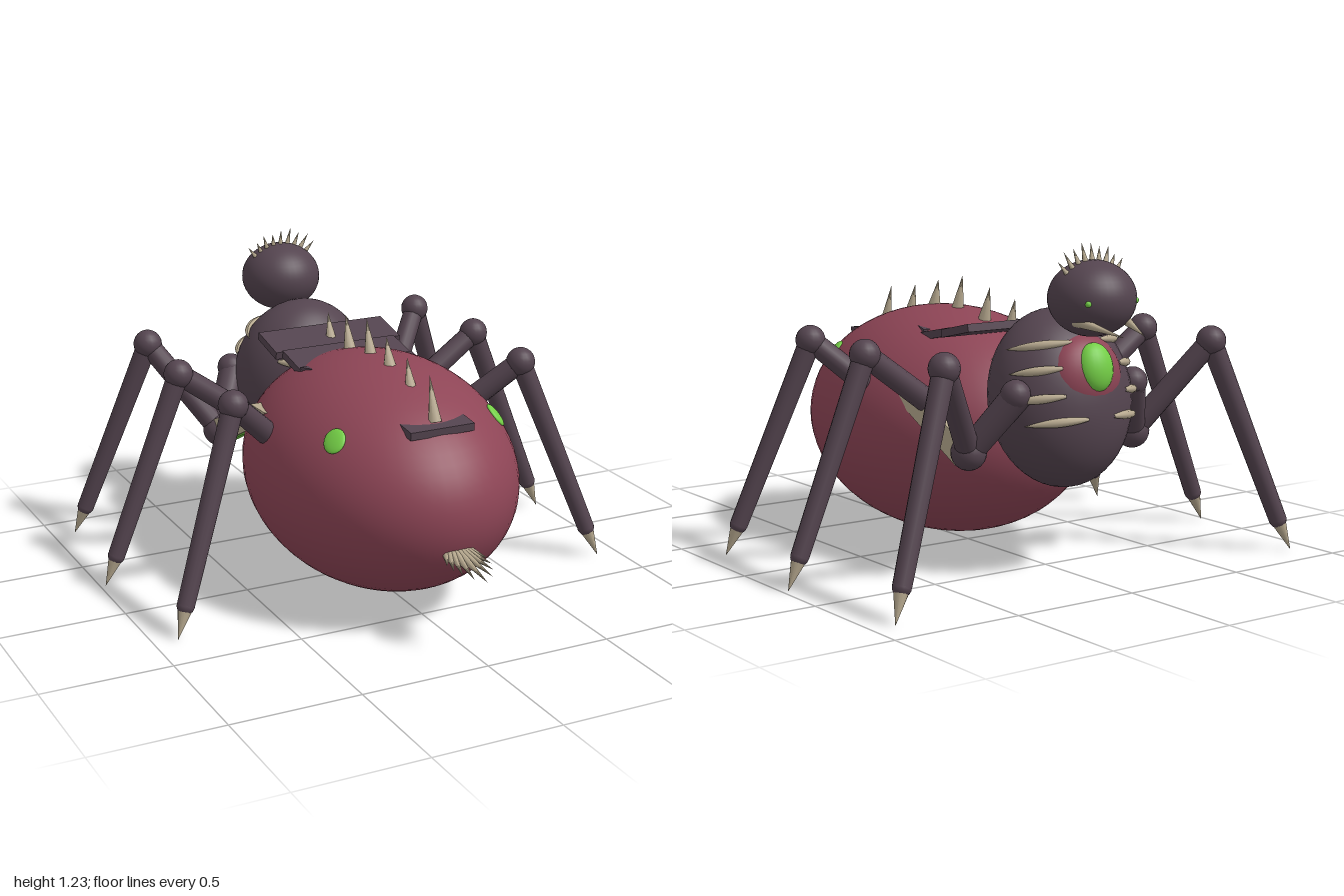
import * as THREE from 'three';

const paint = (name, color) => {
  const m = new THREE.MeshStandardMaterial({ color });
  m.name = name;
  return m;
};

export function createModel() {
  const shell = paint('dark shell', 0x54444f);
  const crimson = paint('crimson hide', 0x8e4556);
  const bone = paint('bone', 0xb8aa90);
  const glow = paint('glowing green', 0x74cf46);
  const root = new THREE.Group();
  root.name = 'spider';
  const V = (x, y, z) => new THREE.Vector3(x, y, z);

  function add(name, geo, mat, parent = root) {
    const m = new THREE.Mesh(geo, mat);
    m.name = name;
    parent.add(m);
    return m;
  }
  function ball(name, pos, radii, mat, parent = root, seg = 40) {
    const m = add(name, new THREE.SphereGeometry(1, seg, Math.ceil(seg * 0.6)), mat, parent);
    m.position.copy(pos);
    m.scale.set(...radii);
    return m;
  }
  // Tapered rod from a to b; a zero end radius makes a spike
  function rod(name, a, b, ra, rb, mat, parent = root, seg = 14) {
    const d = b.clone().sub(a);
    const m = add(name, new THREE.CylinderGeometry(rb, ra, d.length(), seg), mat, parent);
    m.position.copy(a).addScaledVector(d, 0.5);
    m.quaternion.setFromUnitVectors(V(0, 1, 0), d.normalize());
    return m;
  }
  function slab(name, size, pos, tilt) {
    const m = add(name, new THREE.BoxGeometry(...size), shell);
    m.position.set(...pos);
    m.rotation.x = tilt;
    return m;
  }

  // Body
  const belly = V(0, 0.482, 0.135), bellyR = [0.492, 0.444, 0.668];
  ball('abdomen', belly, bellyR, crimson, root, 56);
  ball('head', V(0, 1.035, -0.76), [0.16, 0.137, 0.16], shell);

  const thorax = new THREE.Group();
  thorax.name = 'thorax';
  thorax.position.set(0, 0.655, -0.58);
  thorax.rotation.x = 0.2;
  root.add(thorax);
  const tr = [0.28, 0.33, 0.235];
  ball('thoraxShell', V(0, 0, 0), tr, shell, thorax);
  ball('chestPatch', V(0, 0.07, -0.15), [0.155, 0.15, 0.1], crimson, thorax);
  ball('chestGlow', V(0, 0.09, -0.225), [0.072, 0.09, 0.05], glow, thorax, 24);

  // Tapering ribs that wrap round the thorax
  function rib(side, height, from, to) {
    const pts = [];
    for (let i = 0; i <= 6; i++) {
      const t = THREE.MathUtils.degToRad(from + (to - from) * i / 6);
      const c = Math.sqrt(1 - (height / tr[1]) ** 2) * 1.02;
      pts.push(V(side * tr[0] * c * Math.sin(t), height, -tr[2] * c * Math.cos(t)));
    }
    const curve = new THREE.CatmullRomCurve3(pts);
    const geo = new THREE.TubeGeometry(curve, 14, 0.016, 8);
    const p = geo.attributes.position, v = V(0, 0, 0);
    for (let i = 0; i < p.count; i++) {
      const u = Math.floor(i / 9) / 14, c = curve.getPointAt(u);
      v.fromBufferAttribute(p, i).sub(c).multiplyScalar(Math.max(0.02, Math.sin(Math.PI * (0.12 + 0.88 * u)))).add(c);
      p.setXYZ(i, v.x, v.y, v.z);
    }
    geo.computeVertexNormals();
    add('rib', geo, bone, thorax);
  }

  for (const s of [-1, 1]) {
    rib(s, 0.19, 16, 85);
    rib(s, 0.1, 28, 75);
    rib(s, 0.0, 28, 75);
    rib(s, -0.09, 12, 65);
    rib(s, 0.16, 135, 165);

    // Face
    ball('eye', V(s * 0.107, 1.03, -0.872), [0.012, 0.012, 0.012], glow, root, 12);
    rod('fang', V(s * 0.105, 0.965, -0.8), V(s * 0.045, 0.92, -0.995), 0.022, 0, bone);

    // Glowing spots on the abdomen
    const spot = ball('glowSpot', V(s * 0.335, 0.735, 0.445), [0.045, 0.05, 0.013], glow, root, 20);
    const n = V(...['x', 'y', 'z'].map((k, i) => (spot.position[k] - belly[k]) / bellyR[i] ** 2)).normalize();
    spot.quaternion.setFromUnitVectors(V(0, 0, 1), n);

    // Front leg hip
    const hip = V(s * 0.38, 0.485, -0.54);
    rod('hip', V(s * 0.26, 0.7, -0.67), hip, 0.055, 0.05, shell);
    ball('hipEnd', V(s * 0.27, 0.7, -0.67), [0.055, 0.055, 0.055], shell, root, 20);
    ball('hipJoint', hip, [0.066, 0.066, 0.066], shell, root, 20);

    // Legs: start, knee, ankle, claw tip
    const legs = [
      [hip, V(s * 0.61, 0.83, -0.72), V(s * 0.865, 0.13, -0.838), V(s * 0.91, 0.01, -0.865)],
      [V(s * 0.36, 0.62, -0.28), V(s * 0.65, 0.83, -0.28), V(s * 0.93, 0.13, -0.28), V(s * 0.98, 0.01, -0.28)],
      [V(s * 0.44, 0.67, 0.07), V(s * 0.61, 0.83, 0.165), V(s * 0.865, 0.13, 0.285), V(s * 0.91, 0.01, 0.31)],
    ];
    for (const [start, knee, ankle, tip] of legs) {
      const leg = new THREE.Group();
      leg.name = 'leg';
      root.add(leg);
      rod('upperLeg', start, knee, 0.045, 0.042, shell, leg);
      ball('legRoot', start, [0.045, 0.045, 0.045], shell, leg, 16);
      ball('knee', knee, [0.057, 0.057, 0.057], shell, leg, 20);
      rod('lowerLeg', knee, ankle, 0.042, 0.034, shell, leg);
      ball('ankle', ankle, [0.034, 0.034, 0.034], shell, leg, 16);
      rod('claw', ankle, tip, 0.031, 0, bone, leg);
    }

    // Barbed bone blade along each flank, drawn in z and y
    const blade = new THREE.Shape([
      [-0.5, 0.435], [-0.16, 0.605], [-0.11, 0.655], [0, 0.72],
      [-0.14, 0.715], [-0.17, 0.68], [-0.2, 0.68], [-0.54, 0.53],
    ].map(([z, y]) => new THREE.Vector2(z, y)));
    const geo = new THREE.ExtrudeGeometry(blade, { depth: 0.045, bevelEnabled: false });
    const b = add('flankBlade', geo, bone);
    b.rotation.y = -Math.PI / 2;
    b.position.x = s * 0.39 + 0.0225;
    const strip = add('bladeGlow', new THREE.BoxGeometry(0.03, 0.008, 0.36), glow);
    strip.position.set(s * 0.39, 0.518, -0.33);
    strip.rotation.x = -Math.atan2(0.17, 0.34);

    // Prongs at the rear of the second back plate
    const prong = new THREE.Shape([[0.14, -0.05], [0.24, -0.05], [0.205, 0.07]].map(([x, z]) => new THREE.Vector2(s * x, z)));
    const pg = new THREE.ExtrudeGeometry(prong, { depth: 0.025, bevelEnabled: false });
    const pm = add('plateProng', pg, shell);
    pm.rotation.x = Math.PI / 2 - 0.1;
    pm.position.y = 0.87;
  }

  // Back plates
  slab('frontBackPlate', [0.54, 0.03, 0.175], [0, 0.888, -0.295], 0.22);
  slab('rearBackPlate', [0.485, 0.03, 0.18], [0, 0.856, -0.125], 0.2);
  slab('tailPlate', [0.26, 0.03, 0.1], [0, 0.785, 0.595], 0.1);

  // Row of spikes down the back: base z, base y, tip z, tip y
  for (const [z, y, tz, ty] of [
    [0.585, 0.8, 0.54, 0.965], [0.4, 0.86, 0.365, 0.985], [0.23, 0.91, 0.2, 1.02],
    [0.07, 0.91, 0.035, 1.05], [-0.11, 0.89, -0.145, 1.02], [-0.275, 0.87, -0.305, 0.99],
  ]) rod('backSpike', V(0, y, z), V(0, ty, tz), 0.026, 0, bone, root, 8);

  // Crown of small spikes over the head
  for (let i = -4; i <= 4; i++) {
    const a = i * 0.205, r = 0.19 + 0.01 * (i % 2);
    rod('crownSpike', V(0.145 * Math.sin(a), 1.035 + 0.125 * Math.cos(a), -0.76),
      V(1.06 * r * Math.sin(a), 1.04 + r * Math.cos(a), -0.75), 0.012, 0, bone, root, 8);
  }

  // Tail fan
  for (let i = -4; i <= 4; i++) {
    const a = i * 0.19, len = 0.25 - 0.027 * Math.abs(i);
    rod('tailSpine', V(i * 0.008, 0.365, 0.74),
      V(Math.sin(a) * len * 0.85, 0.325 + 0.006 * Math.abs(i), 0.735 + Math.cos(a) * len), 0.022, 0, bone, root, 8);
  }

  return root;
}
